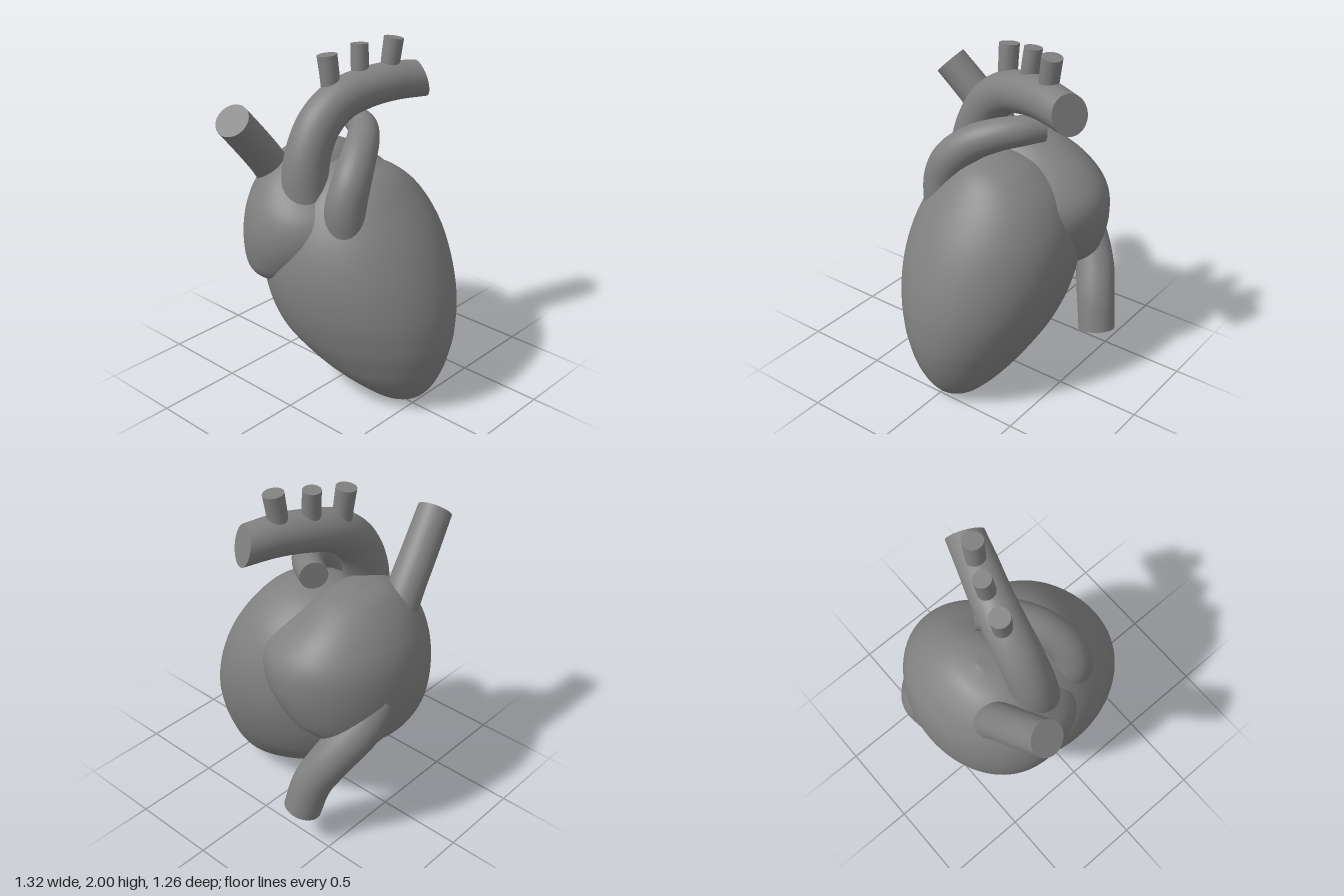
import * as THREE from 'three';

const material = new THREE.MeshStandardMaterial({ color: 0x808080 });

// Smooth closed body from elliptical sections: [y, xMin, xMax, zMin, zMax], bottom to top.
// The skew slides each section in z as it runs along x.
function blob(name, skew, sections, rows = 72, cols = 72) {
  const low = new THREE.CatmullRomCurve3(
    sections.map(([y, x0, , z0]) => new THREE.Vector3(x0, y, z0)), false, 'catmullrom');
  const high = new THREE.CatmullRomCurve3(
    sections.map(([y, , x1, , z1]) => new THREE.Vector3(x1, y, z1)), false, 'catmullrom');
  const positions = [], index = [];
  for (let i = 0; i <= rows; i++) {
    const a = low.getPoint(i / rows), b = high.getPoint(i / rows);
    for (let j = 0; j < cols; j++) {
      const t = (j / cols) * Math.PI * 2;
      const dx = Math.cos(t) * (b.x - a.x) / 2;
      positions.push(
        (a.x + b.x) / 2 + dx,
        a.y,
        (a.z + b.z) / 2 + Math.sin(t) * (b.z - a.z) / 2 + skew * dx);
      if (i === rows) continue;
      const p = i * cols + j, q = i * cols + (j + 1) % cols;
      index.push(p, p + cols, q, q, p + cols, q + cols);
    }
  }
  return solid(name, positions, index);
}

function solid(name, positions, index) {
  const geometry = new THREE.BufferGeometry();
  geometry.setAttribute('position', new THREE.Float32BufferAttribute(positions, 3));
  geometry.setIndex(index);
  geometry.computeVertexNormals();
  const mesh = new THREE.Mesh(geometry, material);
  mesh.name = name;
  return mesh;
}

// Tapered vessel along a smooth path, capped at both ends; endNormal slants the far cut
function vessel(name, points, r0, r1, endNormal, segments = 48, sides = 32) {
  const path = new THREE.CatmullRomCurve3(points.map((p) => new THREE.Vector3(...p)));
  const geometry = new THREE.TubeGeometry(path, segments, 1, sides);
  const pos = geometry.attributes.position;
  const tangent = path.getTangentAt(1);
  const cut = endNormal ? new THREE.Vector3(...endNormal) : tangent;
  const v = new THREE.Vector3();
  for (let i = 0; i <= segments; i++) {
    const t = i / segments;
    const centre = path.getPointAt(t);
    const slant = Math.max(0, (t - 0.7) / 0.3) / tangent.dot(cut);
    for (let j = 0; j <= sides; j++) {
      const k = i * (sides + 1) + j;
      v.fromBufferAttribute(pos, k).sub(centre).multiplyScalar(THREE.MathUtils.lerp(r0, r1, t));
      if (endNormal) v.addScaledVector(tangent, -v.dot(cut) * slant);
      v.add(centre);
      pos.setXYZ(k, v.x, v.y, v.z);
    }
  }
  const group = new THREE.Group();
  group.name = name;
  const wall = new THREE.Mesh(geometry, material);
  wall.name = name + 'Wall';
  group.add(wall);
  // Flat caps fanned from the first and last rings
  for (const end of [0, 1]) {
    const positions = path.getPointAt(end).toArray(), index = [];
    for (let j = 0; j <= sides; j++) {
      v.fromBufferAttribute(pos, end * segments * (sides + 1) + j);
      positions.push(v.x, v.y, v.z);
      if (j < sides) index.push(0, j + 1 + end, j + 2 - end);
    }
    group.add(solid(name + (end ? 'EndCap' : 'BaseCap'), positions, index));
  }
  return group;
}

export function createModel() {
  const model = new THREE.Group();
  model.name = 'heart';

  // Ventricles: egg-shaped mass with its tip low on the left
  model.add(blob('ventricles', -0.05, [
    [0, 0.39, 0.39, -0.03, -0.03],
    [0.025, 0.24, 0.5, -0.15, 0.08],
    [0.1, 0.07, 0.57, -0.24, 0.18],
    [0.2, -0.13, 0.617, -0.32, 0.275],
    [0.3, -0.3, 0.645, -0.38, 0.34],
    [0.42, -0.43, 0.66, -0.44, 0.4],
    [0.6, -0.5, 0.645, -0.5, 0.45],
    [0.8, -0.52, 0.585, -0.525, 0.46],
    [1.0, -0.47, 0.49, -0.5, 0.41],
    [1.18, -0.36, 0.365, -0.41, 0.305],
    [1.3, -0.22, 0.25, -0.27, 0.18],
    [1.355, -0.08, 0.13, -0.13, 0.08],
    [1.37, 0.03, 0.03, -0.02, -0.02],
  ]));

  // Atria: rounded lobe wrapping the upper right side
  model.add(blob('atria', 0.07, [
    [0.56, -0.46, -0.46, -0.06, -0.06],
    [0.575, -0.54, -0.34, -0.2, 0.1],
    [0.63, -0.6, -0.16, -0.36, 0.3],
    [0.72, -0.64, 0.05, -0.48, 0.43],
    [0.85, -0.66, 0.17, -0.54, 0.48],
    [0.98, -0.658, 0.22, -0.565, 0.49],
    [1.1, -0.635, 0.2, -0.555, 0.465],
    [1.2, -0.59, 0.11, -0.49, 0.41],
    [1.3, -0.515, -0.03, -0.37, 0.32],
    [1.385, -0.41, -0.14, -0.21, 0.17],
    [1.415, -0.28, -0.28, -0.03, -0.03],
  ]));

  // Great vessels
  model.add(vessel('aorta', [
    [-0.1, 1.08, 0.23], [-0.12, 1.3, 0.225], [-0.125, 1.45, 0.185], [-0.12, 1.59, 0.1],
    [-0.1, 1.685, -0.03], [-0.055, 1.73, -0.2], [0, 1.745, -0.36], [0.06, 1.735, -0.535],
  ], 0.136, 0.106, [0.4, 0.25, -0.87]));
  model.add(vessel('pulmonaryArtery', [
    [0.17, 1.02, 0.2], [0.17, 1.2, 0.21], [0.165, 1.33, 0.16], [0.12, 1.435, 0.055],
    [0.05, 1.49, -0.06], [-0.04, 1.51, -0.16], [-0.145, 1.51, -0.23],
  ], 0.124, 0.078));
  model.add(vessel('upperVein', [
    [-0.4, 1.2, 0.16], [-0.385, 1.33, 0.25], [-0.365, 1.47, 0.37], [-0.325, 1.665, 0.555],
  ], 0.105, 0.098));
  model.add(vessel('lowerVein', [
    [-0.54, 0.88, -0.16], [-0.53, 0.74, -0.29], [-0.45, 0.57, -0.42],
    [-0.37, 0.4, -0.49], [-0.33, 0.215, -0.53],
  ], 0.125, 0.107));

  // Three small branches on top of the aortic arch
  const branches = [
    [[-0.135, 1.68, -0.005], [-0.14, 1.8, 0], [-0.157, 1.94, 0.005]],
    [[-0.08, 1.7, -0.18], [-0.085, 1.83, -0.183], [-0.1, 1.975, -0.193]],
    [[-0.015, 1.72, -0.345], [-0.012, 1.85, -0.355], [-0.006, 1.99, -0.375]],
  ];
  branches.forEach((points, i) => {
    model.add(vessel('archBranch' + (i + 1), points, 0.052, i === 1 ? 0.05 : 0.057, null, 16, 24));
  });
  return model;
}
